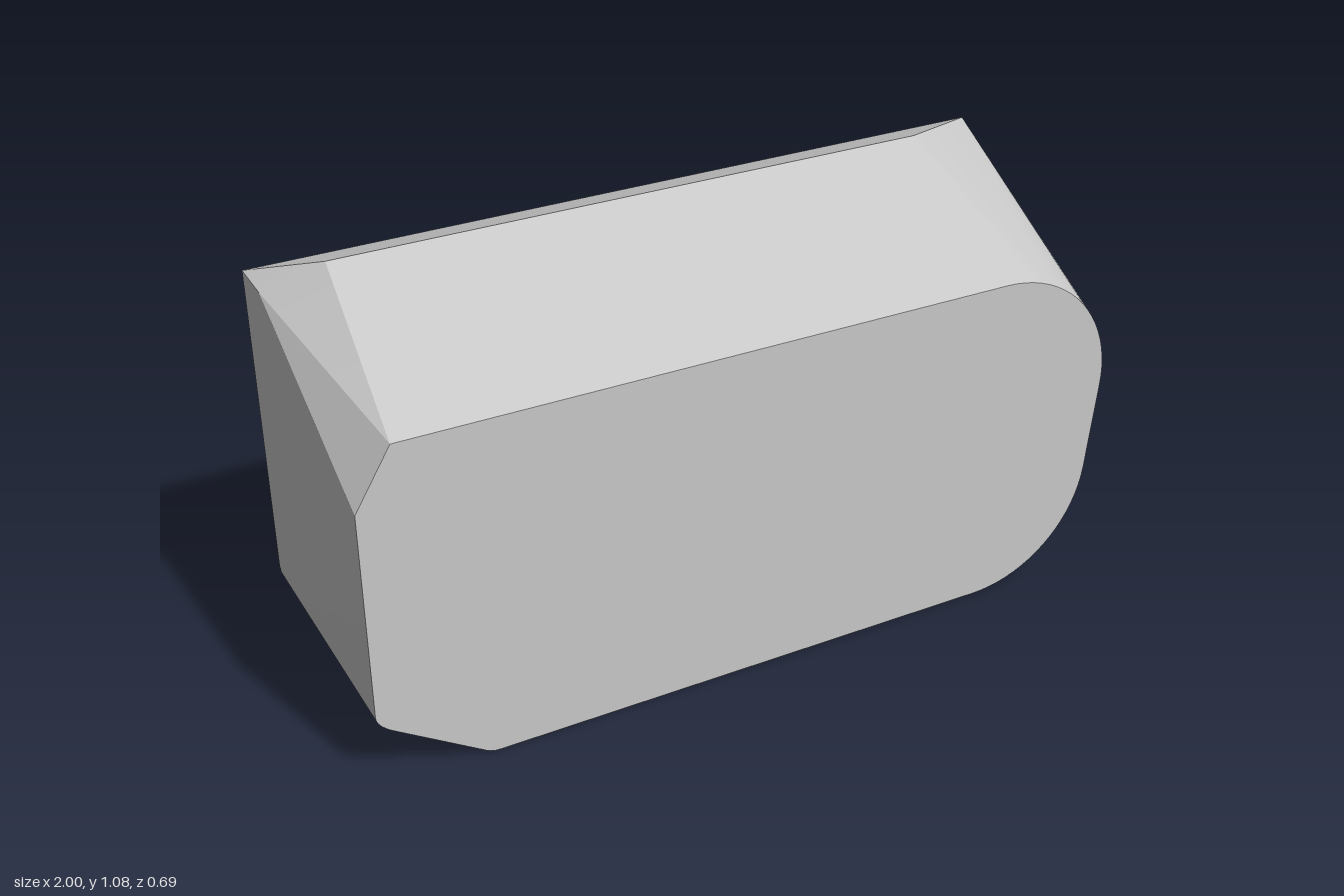
import * as THREE from 'three';
import { ConvexGeometry } from 'three/addons/geometries/ConvexGeometry.js';
import { toCreasedNormals } from 'three/addons/utils/BufferGeometryUtils.js';

const FRONT = 0.345, RIDGE = -0.155, BACK = -0.345;
const rad = THREE.MathUtils.degToRad;

// points along a circular corner
function arc(cx, cy, r, from, to, n) {
  return Array.from({ length: n + 1 }, (_, i) => {
    const a = rad(from + (to - from) * i / n);
    return [cx + r * Math.cos(a), cy + r * Math.sin(a)];
  });
}

// points along a small eased corner from a to b, bending at c
function ease(a, c, b, n = 6) {
  const v = p => new THREE.Vector2(...p);
  return new THREE.QuadraticBezierCurve(v(a), v(c), v(b)).getPoints(n).map(p => [p.x, p.y]);
}

const atDepth = (points, z) => points.map(([x, y]) => new THREE.Vector3(x, y, z));

export function createModel() {
  const model = new THREE.Group();
  const grey = new THREE.MeshStandardMaterial({ color: 0xc8c8c8 });
  grey.name = 'light grey';

  // front outline: large rounded corners on +x, chamfers on -x
  const front = [
    ...arc(0.62, 0.327, 0.327, -90, -6, 18),
    ...arc(0.65, 0.565, 0.32, -6, 90, 20),
    [-0.91, 0.885], [-1, 0.735],
    ...ease([-1, 0.2], [-1, 0.173], [-0.95, 0.143]),
    ...ease([-0.745, 0.01], [-0.73, 0], [-0.71, 0], 3),
  ];

  // back outline: raised, with sharp upper corners
  const back = [
    ...arc(0.62, 0.452, 0.327, -90, -6, 18),
    ...ease([0.997, 0.86], [1.003, 0.93], [0.985, 1.01]),
    [-1, 1.008],
    ...ease([-1, 0.195], [-1, 0.125], [-0.92, 0.125]),
  ];

  // top ridge and the left corner where its chamfer dies out
  const ridge = [[-0.86, 1.08], [0.7, 1.08]];
  const corner = new THREE.Vector3(-1, 1.008, -0.22);

  const shell = new ConvexGeometry([
    ...atDepth(front, FRONT), ...atDepth(ridge, RIDGE), corner, ...atDepth(back, BACK),
  ]);
  const body = new THREE.Mesh(toCreasedNormals(shell, 0.3), grey);
  body.name = 'body';
  model.add(body);
  return model;
}
